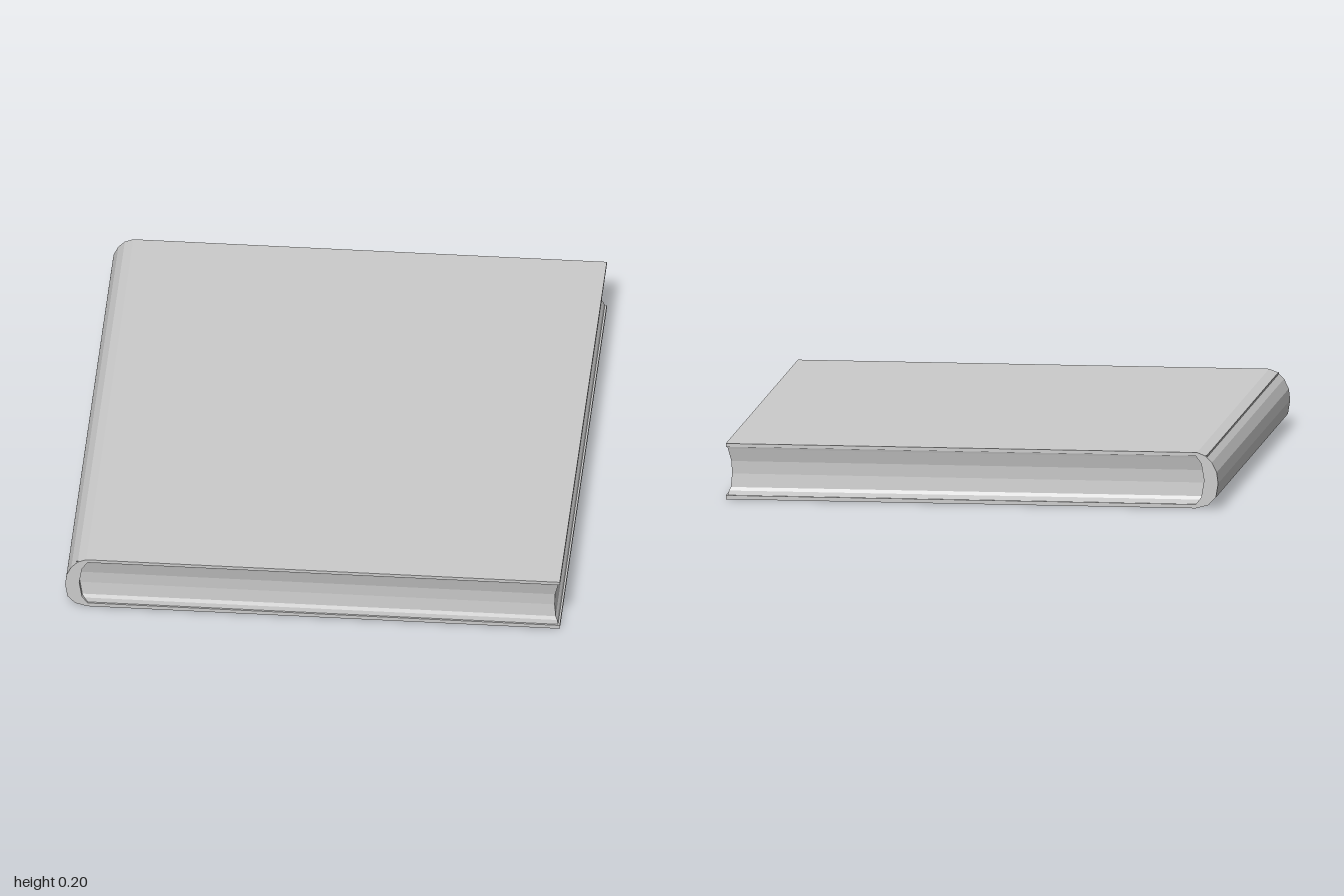
import * as THREE from 'three';

const material = () => new THREE.MeshStandardMaterial({ color: 0xcccccc, flatShading: true });

// Pages: stacked rectangles, hollowed on the three open edges
function pageBlock() {
  const levels = [[0.01, 0.006], [0.03, 0.01], [0.042, 0.016], [0.09, 0.02], [0.135, 0.018], [0.18, 0.007], [0.19, 0.004]];
  const back = -0.84;
  const pos = [], index = [];
  for (const [y, d] of levels) {
    const x = 0.88 - d, z = 1 - d;
    pos.push(back, y, z, x, y, z, x, y, -z, back, y, -z);
  }
  for (let i = 0; i < levels.length - 1; i++) {
    for (let j = 0; j < 4; j++) {
      const a = i * 4 + j, b = i * 4 + (j + 1) % 4;
      index.push(a, b, b + 4, a, b + 4, a + 4);
    }
  }
  const geometry = new THREE.BufferGeometry();
  geometry.setAttribute('position', new THREE.Float32BufferAttribute(pos, 3));
  geometry.setIndex(index);
  geometry.computeVertexNormals();
  return geometry;
}

// Cover: one folded profile with a thick rounded spine
function coverShell() {
  const outline = [
    [0.88, 0], [-0.8, 0], [-0.845, 0.012], [-0.872, 0.04], [-0.88, 0.09], [-0.875, 0.13],
    [-0.858, 0.165], [-0.835, 0.188], [-0.805, 0.2], [0.88, 0.2],
    [0.88, 0.188], [-0.8, 0.188], [-0.82, 0.16], [-0.83, 0.1], [-0.82, 0.04], [-0.8, 0.014], [0.88, 0.014],
  ];
  const shape = new THREE.Shape(outline.map(([x, y]) => new THREE.Vector2(x, y)));
  return new THREE.ExtrudeGeometry(shape, { depth: 2, bevelEnabled: false }).translate(0, 0, -1);
}

export function createModel() {
  const book = new THREE.Group();
  book.name = 'book';
  for (const [name, geometry] of [['cover', coverShell()], ['pages', pageBlock()]]) {
    const mesh = new THREE.Mesh(geometry, material());
    mesh.name = name;
    book.add(mesh);
  }
  return book;
}
